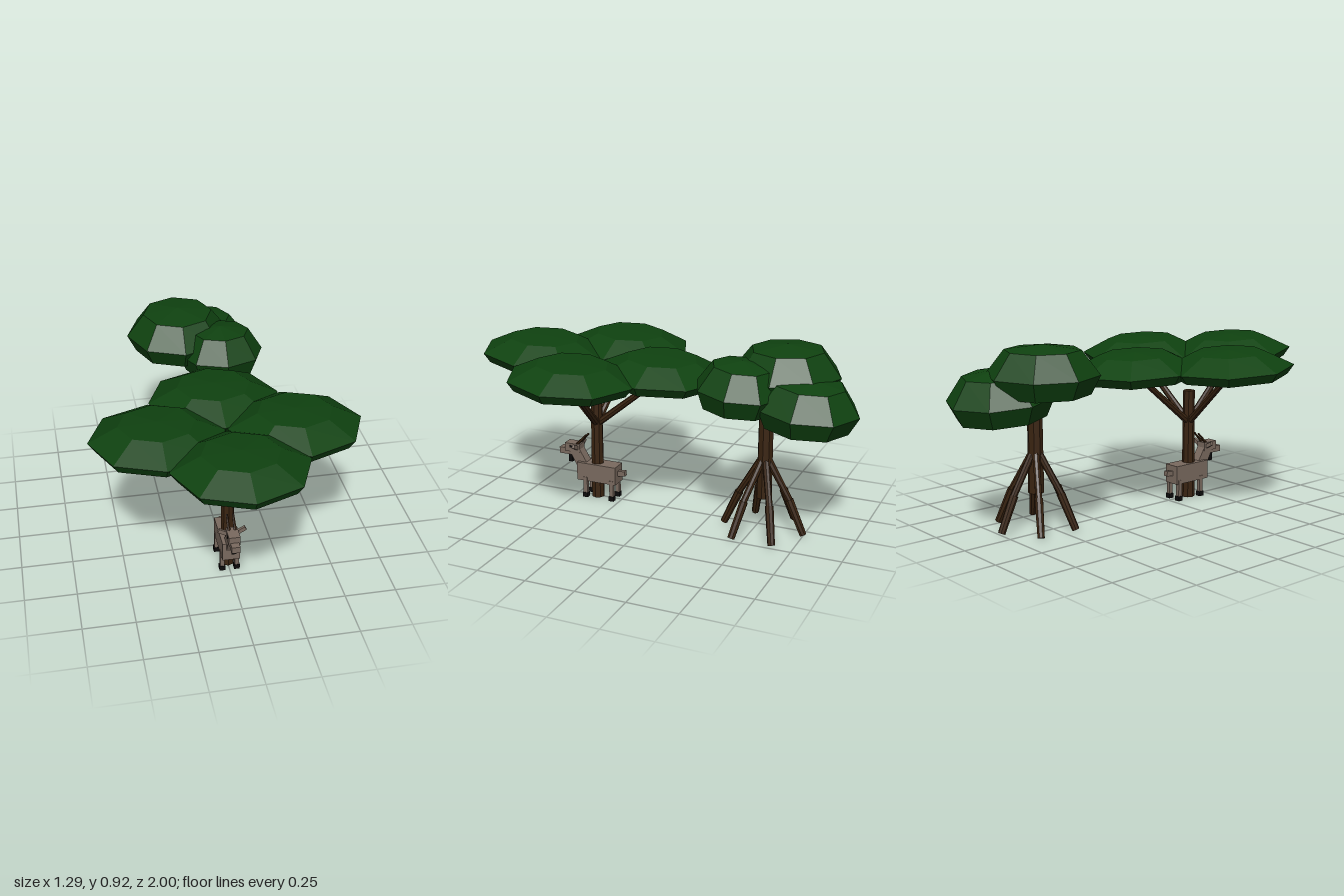
import * as THREE from 'three';

const mat = (name, color) => {
  const m = new THREE.MeshStandardMaterial({ color, flatShading: true });
  m.name = name;
  return m;
};
const V = (x, y, z) => new THREE.Vector3(x, y, z);

export function createModel() {
  const leaf = mat('leaf green', 0x0f4210);
  const bark = mat('bark brown', 0x3a2411);
  const fur = mat('goat fur', 0x7a6a5f);
  const black = mat('hoof black', 0x0c0b0b);

  const model = new THREE.Group();
  model.name = 'treesAndGoat';

  const group = (name, parent = model) => {
    const g = new THREE.Group();
    g.name = name;
    parent.add(g);
    return g;
  };
  const add = (parent, name, geo, material, x = 0, y = 0, z = 0) => {
    const m = new THREE.Mesh(geo, material);
    m.name = name;
    m.position.set(x, y, z);
    parent.add(m);
    return m;
  };
  // Tapered stick between two points
  const stick = (parent, name, a, b, r0, r1, material = bark, sides = 8) => {
    const dir = b.clone().sub(a);
    const m = add(parent, name, new THREE.CylinderGeometry(r1, r0, dir.length(), sides), material);
    m.position.copy(a).addScaledVector(dir, 0.5);
    m.quaternion.setFromUnitVectors(V(0, 1, 0), dir.normalize());
    return m;
  };
  // Eight-sided leaf cushion; profile runs from the bottom pole to the top
  const crown = (parent, name, profile, x, y, z, tilt) => {
    const pts = profile.map(([r, h]) => new THREE.Vector2(r, h));
    const m = add(parent, name, new THREE.LatheGeometry(pts, 8), leaf, x, y, z);
    m.rotation.x = tilt;
    return m;
  };
  const box = (parent, name, w, h, d, material, x, y, z) =>
    add(parent, name, new THREE.BoxGeometry(w, h, d), material, x, y, z);

  // Flat-topped tree: trunk, four branches, four overlapping crowns
  const flatTree = group('flatTree');
  const trunkZ = 0.388;
  stick(flatTree, 'trunk', V(0, 0, trunkZ), V(0, 0.57, trunkZ), 0.034, 0.03);
  const fork = V(0, 0.4, trunkZ);
  const branchEnds = [V(0, 0.71, 0.68), V(0, 0.69, 0.03), V(0.32, 0.69, 0.355), V(-0.32, 0.69, 0.355)];
  branchEnds.forEach((end) => stick(flatTree, 'branch', fork, end, 0.019, 0.015));

  const flatProfile = [[0, -0.085], [0.287, -0.046], [0.32, 0], [0.18, 0.07], [0, 0.08]];
  for (let i = 0; i < 4; i++) {
    const a = (i * Math.PI) / 2;
    const dz = 0.328 * Math.cos(a);
    crown(flatTree, 'flatCrown', flatProfile, 0.325 * Math.sin(a), 0.745 + 0.05 * dz, 0.35 + dz, -0.055);
  }

  // Stilt-rooted tree: raised trunk, six two-part roots, three round crowns
  const stiltTree = group('stiltTree');
  const sx = 0.066, sz = -0.55;
  stick(stiltTree, 'stiltTrunk', V(sx, 0.178, sz), V(sx, 0.7, sz), 0.039, 0.036);
  for (let i = 0; i < 6; i++) {
    const a = (i * Math.PI) / 3;
    const at = (r, y) => V(sx + r * Math.sin(a), y, sz + r * Math.cos(a));
    stick(stiltTree, 'upperRoot', at(0.015, 0.38), at(0.135, 0.175), 0.018, 0.016);
    stick(stiltTree, 'lowerRoot', at(0.128, 0.185), at(0.204, 0.013), 0.021, 0.018);
  }
  const roundCrown = (name, R, x, y, z, tilt) =>
    crown(stiltTree, name,
      [[0, -0.112], [0.83 * R, -0.09], [R, 0], [0.67 * R, 0.115], [0, 0.14]], x, y, z, tilt);
  roundCrown('backCrown', 0.255, 0.063, 0.662, -0.745, -0.08);
  roundCrown('topCrown', 0.268, -0.075, 0.778, -0.6, 0);
  roundCrown('frontCrown', 0.22, 0.123, 0.73, -0.435, -0.09);

  // Goat
  const goat = group('goat');
  box(goat, 'body', 0.086, 0.097, 0.22, fur, 0, 0.138, 0.378);
  const tail = box(goat, 'tail', 0.024, 0.026, 0.045, fur, 0, 0.146, 0.25);
  tail.rotation.x = 0.12;

  // Neck slants forward from the chest to the head
  const neckShape = new THREE.Shape([
    new THREE.Vector2(0.44, 0.185), new THREE.Vector2(0.49, 0.145),
    new THREE.Vector2(0.545, 0.25), new THREE.Vector2(0.485, 0.26),
  ]);
  const neckGeo = new THREE.ExtrudeGeometry(neckShape, { depth: 0.05, bevelEnabled: false });
  neckGeo.translate(0, 0, -0.025);
  neckGeo.rotateY(-Math.PI / 2);
  add(goat, 'neck', neckGeo, fur);

  box(goat, 'head', 0.056, 0.045, 0.085, fur, 0, 0.256, 0.522);
  box(goat, 'snout', 0.042, 0.033, 0.08, fur, 0, 0.231, 0.56);
  box(goat, 'beard', 0.022, 0.05, 0.022, black, 0, 0.196, 0.541);

  for (const s of [-1, 1]) {
    const ear = box(goat, 'ear', 0.046, 0.02, 0.014, fur, s * 0.046, 0.268, 0.495);
    ear.rotation.z = s * 0.5;
    stick(goat, 'horn', V(s * 0.015, 0.265, 0.508), V(s * 0.015, 0.332, 0.445), 0.009, 0.005, bark, 6);
    box(goat, 'eye', 0.006, 0.012, 0.014, black, s * 0.027, 0.262, 0.53);
    for (const z of [0.44, 0.29]) {
      box(goat, 'leg', 0.02, 0.09, 0.022, fur, s * 0.036, 0.065, z);
      box(goat, 'hoof', 0.028, 0.025, 0.028, black, s * 0.036, 0.0125, z);
    }
  }
  return model;
}
